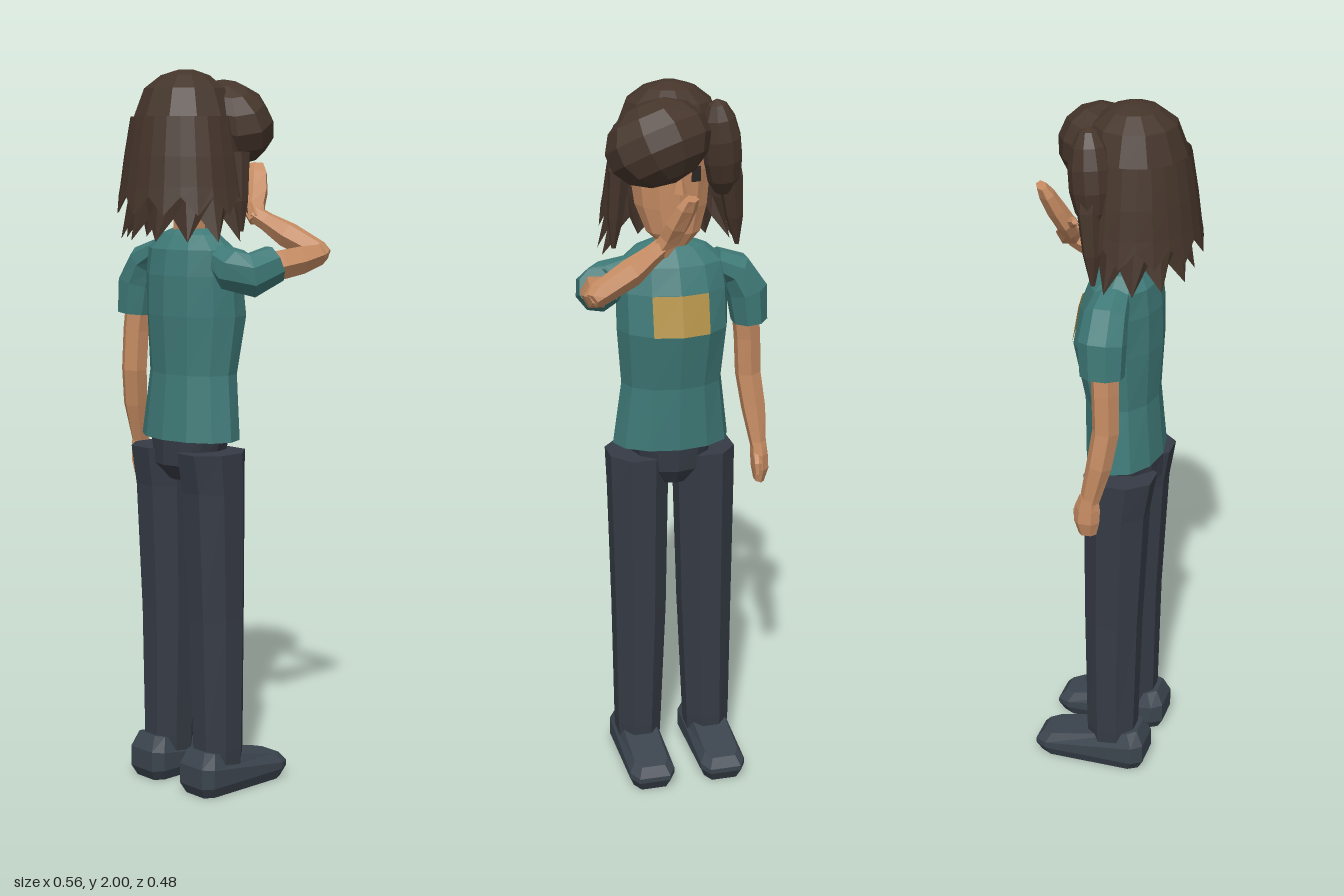
import * as THREE from 'three';

const mat = (name, color, side = THREE.FrontSide) => {
  const m = new THREE.MeshStandardMaterial({ color, side });
  m.name = name;
  return m;
};
const V = (x, y, z) => new THREE.Vector3(x, y, z);

// Faceted surface through rows of points; closed rows can be capped at both ends
function loft(rows, closed = true) {
  const n = rows[0].length, pos = rows.flat().flatMap(p => [p.x, p.y, p.z]), idx = [];
  const cols = closed ? n : n - 1;
  for (let i = 0; i < rows.length - 1; i++)
    for (let j = 0; j < cols; j++) {
      const a = i * n + j, b = i * n + (j + 1) % n, c = a + n, d = b + n;
      idx.push(a, c, b, b, c, d);
    }
  if (closed) {
    [0, rows.length - 1].forEach((r, top) => {
      const mid = rows[r].reduce((s, p) => s.add(p), V(0, 0, 0)).divideScalar(n);
      const k = pos.push(mid.x, mid.y, mid.z) / 3 - 1;
      for (let j = 0; j < n; j++) {
        const a = r * n + j, b = r * n + (j + 1) % n;
        idx.push(k, ...(top ? [b, a] : [a, b]));
      }
    });
  }
  const g = new THREE.BufferGeometry();
  g.setAttribute('position', new THREE.Float32BufferAttribute(pos, 3));
  g.setIndex(idx);
  const flat = g.toNonIndexed();
  flat.computeVertexNormals();
  return flat;
}

// Horizontal elliptical section
const ring = ([y, cx, cz, rx, rz], n = 12, phase = 0, k = 1) =>
  Array.from({ length: n }, (_, j) => {
    const a = phase + j * Math.PI * 2 / n;
    return V(cx + Math.cos(a) * rx * k, y, cz + Math.sin(a) * rz * k);
  });

// Limb along [x, y, z, radius, depthRadius] stations; ref fixes the first radius direction
function limb(stations, ref = V(1, 0, 0), n = 6) {
  const p = stations.map(s => V(s[0], s[1], s[2]));
  return loft(stations.map((s, i) => {
    const t = p[Math.min(i + 1, p.length - 1)].clone().sub(p[Math.max(i - 1, 0)]).normalize();
    const u = ref.clone().addScaledVector(t, -ref.dot(t)).normalize();
    const v = u.clone().cross(t);
    return Array.from({ length: n }, (_, j) => {
      const a = (j + 0.5) * Math.PI * 2 / n;
      return p[i].clone().addScaledVector(u, Math.cos(a) * s[3]).addScaledVector(v, Math.sin(a) * (s[4] ?? s[3]));
    });
  }));
}

export function createModel() {
  const model = new THREE.Group();
  const skin = mat('skin', 0xc68c63), shirt = mat('teal shirt', 0x3f7a78), pants = mat('dark trousers', 0x363b45);
  const shoe = mat('slate shoes', 0x3b444e), hair = mat('brown hair', 0x45352b, THREE.DoubleSide);
  const gold = mat('gold patch', 0xb8974c, THREE.DoubleSide), dark = mat('dark eyes', 0x2c2826);
  const add = (name, geo, material) => {
    const m = new THREE.Mesh(geo, material);
    m.name = name;
    model.add(m);
    return m;
  };

  // Legs and shoes
  const foot = [[.065, .1], [.045, .13], [-.045, .13], [-.065, .1], [-.065, -.165], [-.045, -.2], [.045, -.2], [.065, -.165]];
  for (const [s, side] of [[1, 'left'], [-1, 'right']]) {
    const legRows = [[.07, .103, .025, .06, .067], [.13, .103, .025, .063, .07], [.5, .097, .027, .073, .077],
      [.86, .096, .036, .08, .086], [.97, .095, .045, .083, .095]];
    add(side + 'Leg', loft(legRows.map(([y, x, z, rx, rz]) =>
      ring([y, s * x, z, rx, rz], 8, Math.PI / 8, 1 / Math.cos(Math.PI / 8)))), pants);
    const shoeRow = (k, y) => foot.map(([x, z]) => V(s * .105 + x * k, y(z), -.035 + (z + .035) * (k + 1) / 2));
    add(side + 'Shoe', loft([shoeRow(.8, () => .005), shoeRow(1, () => .035),
      shoeRow(1, z => .075 + z * .13), shoeRow(.75, z => .111 + z * .18)]), shoe);
  }
  add('hips', loft([[.885, 0, .035, .05, .06], [.93, 0, .04, .1, .095], [1.01, 0, .038, .125, .1]].map(r => ring(r))), pants);

  // Shirt body and chest patch
  const body = [[1.0, 0, .035, .165, .105], [1.18, 0, .025, .142, .1], [1.34, 0, .013, .156, .122],
    [1.45, 0, .022, .156, .11], [1.52, 0, .03, .147, .092], [1.56, 0, .035, .1, .06], [1.575, 0, .035, .055, .045]];
  add('shirtBody', loft(body.map(r => ring(r))), shirt);
  add('chestPatch', loft([body[2], body[3]].map(r => ring(r).slice(8, 11).map(p => p.add(V(0, 0, -.004)))), false), gold);

  // Lowered right arm
  add('rightSleeve', limb([[-.225, 1.33, .035, .05, .06], [-.215, 1.42, .033, .058, .065], [-.18, 1.48, .032, .05, .06],
    [-.12, 1.51, .03, .035, .05]], V(1, 0, 0), 8), shirt);
  add('rightArm', limb([[-.249, .96, .005, .022, .027], [-.24, 1.07, .03, .035], [-.227, 1.17, .045, .037],
    [-.222, 1.28, .042, .038], [-.21, 1.4, .035, .04]]), skin);
  add('rightHand', limb([[-.25, .86, .0, .014, .025], [-.252, .9, -.002, .024, .036], [-.25, .94, 0, .024, .036],
    [-.249, .975, .005, .022, .027]]), skin);
  add('rightThumb', limb([[-.238, .89, -.035, .008], [-.238, .92, -.032, .012], [-.243, .95, -.008, .012]]), skin);

  // Raised left arm
  const up = V(0, 1, 0);
  add('leftSleeve', limb([[.11, 1.5, .035, .04], [.17, 1.47, .035, .06], [.212, 1.455, .01, .062],
    [.23, 1.485, -.062, .053, .045]], up, 8), shirt);
  add('leftUpperArm', limb([[.21, 1.465, .01, .04], [.232, 1.48, -.08, .042], [.245, 1.49, -.14, .04],
    [.257, 1.505, -.2, .032], [.262, 1.51, -.225, .018]], up), skin);
  add('leftForearm', limb([[.272, 1.5, -.222, .02], [.25, 1.512, -.208, .032], [.16, 1.555, -.182, .037],
    [.1, 1.59, -.16, .027], [.065, 1.61, -.148, .025]], up), skin);
  add('leftHand', limb([[.075, 1.595, -.148, .026], [.05, 1.63, -.155, .036, .028], [.035, 1.67, -.175, .04, .027],
    [.015, 1.72, -.195, .038, .022], [.005, 1.745, -.205, .028, .014]], V(.6, .2, -.6).normalize()), skin);
  add('leftThumb', limb([[.055, 1.62, -.145, .014], [.025, 1.645, -.125, .014], [.0, 1.655, -.112, .008]], up), skin);

  // Neck, head and face
  add('neck', limb([[0, 1.53, .037, .047], [0, 1.66, .04, .045]], V(1, 0, 0), 8), skin);
  add('head', loft([[1.575, 0, -.015, .035, .03], [1.61, 0, .005, .075, .065], [1.68, 0, .03, .1, .095],
    [1.78, 0, .045, .112, .115], [1.88, 0, .05, .108, .112], [1.94, 0, .055, .07, .07]].map(r => ring(r))), skin);
  add('nose', loft([[1.727, 0, -.075, .017, .028], [1.775, 0, -.066, .006, .008]].map(r => ring(r, 4))), skin);
  for (const s of [1, -1]) {
    const eye = add(s > 0 ? 'leftEye' : 'rightEye', new THREE.BoxGeometry(.026, .04, .008), dark);
    eye.position.set(s * .046, 1.772, -.057);
    eye.rotation.y = -s * .27;
  }

  // Hair crown
  add('hairCrown', loft([[1.87, 0, .055, .146, .14], [1.95, 0, .055, .115, .11], [1.985, 0, .053, .07, .066],
    [2, 0, .05, .022, .022]].map(r => ring(r))), hair);

  // Open curtains of hair with jagged tips: last row alternates between high and low points
  const curtain = (rows, tips) => {
    const cols = 17, from = -27, span = 234;
    const arc = ([y, rx, rz], j) => {
      const a = THREE.MathUtils.degToRad(from + span * j / (cols - 1));
      return V(Math.cos(a) * rx, y, .06 + Math.sin(a) * rz);
    };
    const js = [...Array(cols).keys()];
    return loft([js.map(j => arc(tips[j % 2], j)), ...rows.map(r => js.map(j => arc(r, j)))], false);
  };
  add('hairInnerLayer', curtain([[1.66, .168, .135], [1.8, .15, .135]], [[1.605, .165, .125], [1.545, .195, .15]]), hair);
  add('hairOuterLayer', curtain([[1.69, .177, .168], [1.77, .165, .158], [1.875, .146, .141]],
    [[1.615, .19, .18], [1.665, .182, .172]]), hair);

  // Swept fringe and side lock
  const lump = (name, [x, y, z], [rx, ry, rz], [ax, az]) => {
    const g = new THREE.SphereGeometry(1, 10, 7).scale(rx, ry, rz).rotateX(ax).rotateZ(az).translate(x, y, z).toNonIndexed();
    g.computeVertexNormals();
    add(name, g, hair);
  };
  lump('sweptFringe', [.055, 1.86, -.055], [.145, .112, .11], [.35, -.35]);
  lump('sideLock', [-.122, 1.83, -.025], [.058, .135, .06], [-.1, -.12]);
  add('rightFrontLock', limb([[-.175, 1.56, -.005, .006], [-.165, 1.64, -.01, .025], [-.15, 1.75, -.02, .035],
    [-.13, 1.86, -.02, .035]]), hair);
  add('leftFrontLock', limb([[.165, 1.57, .0, .006], [.16, 1.65, .0, .022], [.15, 1.78, -.005, .03]]), hair);

  return model;
}
